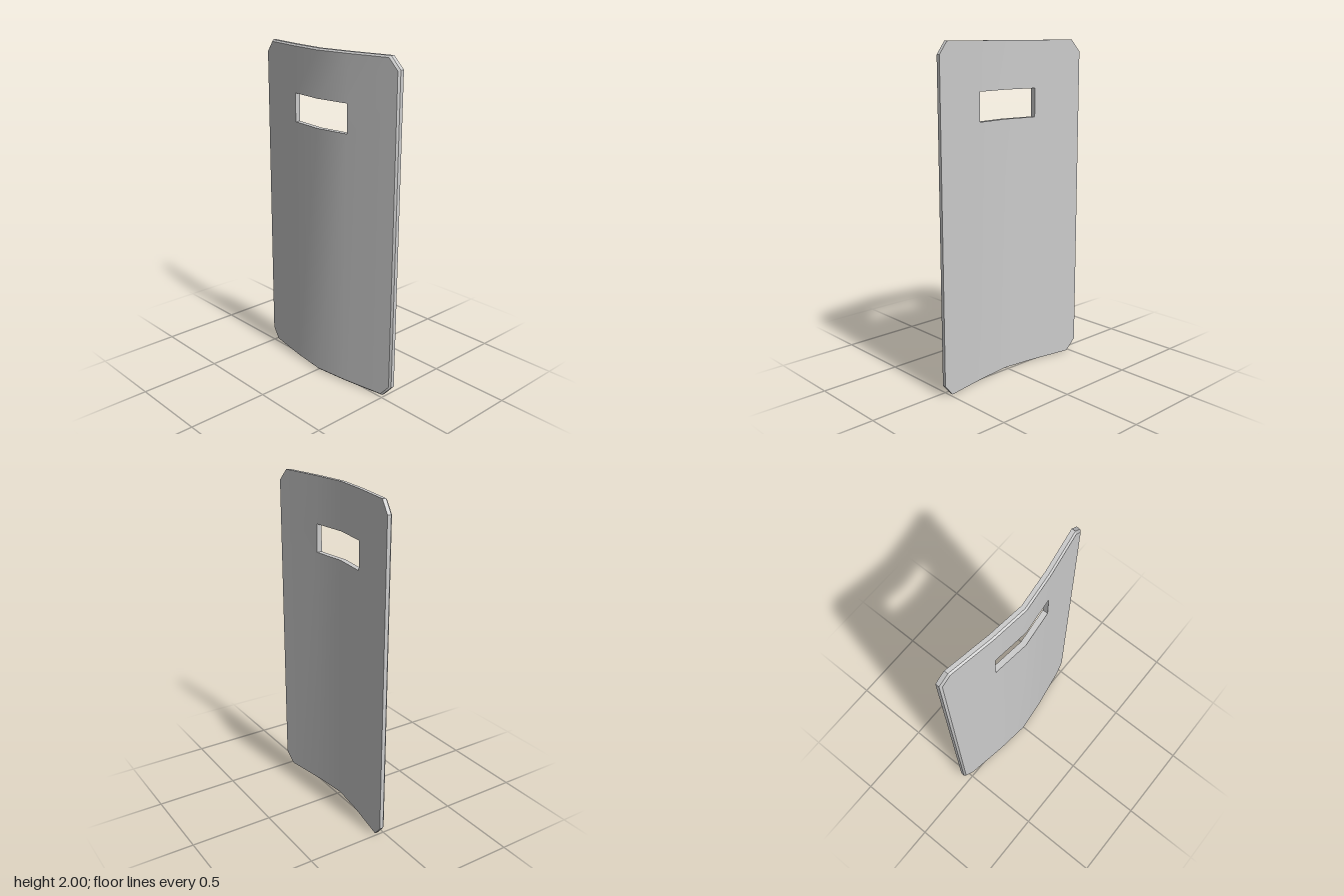
import * as THREE from 'three';
import { toCreasedNormals } from 'three/addons/utils/BufferGeometryUtils.js';

const HALF_W = 0.543, HEIGHT = 2, CUT_X = 0.06, CUT_Y = 0.07; // outline and cut corners
const SLOT_X = 0.217, SLOT_LOW = 1.55, SLOT_HIGH = 1.72;      // viewing slot
const THICK = 0.033, BEVEL = 0.01;

// Depth of the bent front surface at a given x
function frontZ(x) {
  const a = Math.abs(x);
  return a < SLOT_X ? 0.056 - 0.116 * a : 0.0308 - 0.17 * (a - SLOT_X);
}

// Columns across the plate, each with its lower and upper end
function columns(inset) {
  const w = HALF_W - inset, c = w - CUT_X + inset * 0.4;
  return [-w, -c, -SLOT_X, 0, SLOT_X, c, w].map((x) => {
    const low = Math.abs(x) === w ? CUT_Y + inset * 0.4 : inset;
    return { x, low, high: HEIGHT - low };
  });
}

// Closed counterclockwise outline, set back from the front surface
function outline(cols, back) {
  const at = (x, y) => [x, y, frontZ(x) - back];
  return [
    ...cols.map((c) => at(c.x, c.low)),
    ...[...cols].reverse().map((c) => at(c.x, c.high)),
  ];
}

export function createModel() {
  const pos = [];
  const quad = (a, b, c, d) => pos.push(...a, ...b, ...c, ...a, ...c, ...d);

  // Broad face in three bands per column pair, leaving the slot open
  function face(cols, back, flip) {
    const at = (c, k) => [c.x, [c.low, SLOT_LOW, SLOT_HIGH, c.high][k], frontZ(c.x) - back];
    for (let i = 0; i < cols.length - 1; i++) {
      const l = cols[i], r = cols[i + 1];
      const open = Math.abs(l.x + r.x) / 2 < SLOT_X;
      for (let k = 0; k < 3; k++) {
        if (open && k === 1) continue;
        const q = [at(l, k), at(r, k), at(r, k + 1), at(l, k + 1)];
        quad(...(flip ? q.reverse() : q));
      }
    }
  }

  // Band of quads joining a front outline to a rear one
  function wall(front, rear) {
    front.forEach((p, i) => {
      const j = (i + 1) % front.length;
      quad(p, rear[i], rear[j], front[j]);
    });
  }

  const inner = columns(BEVEL), outer = columns(0);
  face(inner, 0, false);
  face(outer, THICK, true);

  // Bevelled front edge, then the straight rim
  const rim = outline(outer, BEVEL);
  wall(outline(inner, 0), rim);
  wall(rim, outline(outer, THICK));

  // Inside walls of the slot
  const slot = [-SLOT_X, 0, SLOT_X].map((x) => ({ x, low: SLOT_LOW, high: SLOT_HIGH }));
  wall(outline(slot, 0).reverse(), outline(slot, THICK).reverse());

  const geometry = new THREE.BufferGeometry();
  geometry.setAttribute('position', new THREE.Float32BufferAttribute(pos, 3));
  const plate = new THREE.Mesh(
    toCreasedNormals(geometry, Math.PI / 6),
    new THREE.MeshStandardMaterial({ color: 0xcccccc })
  );
  plate.name = 'shieldPlate';

  const group = new THREE.Group();
  group.name = 'shield';
  group.add(plate);
  return group;
}
